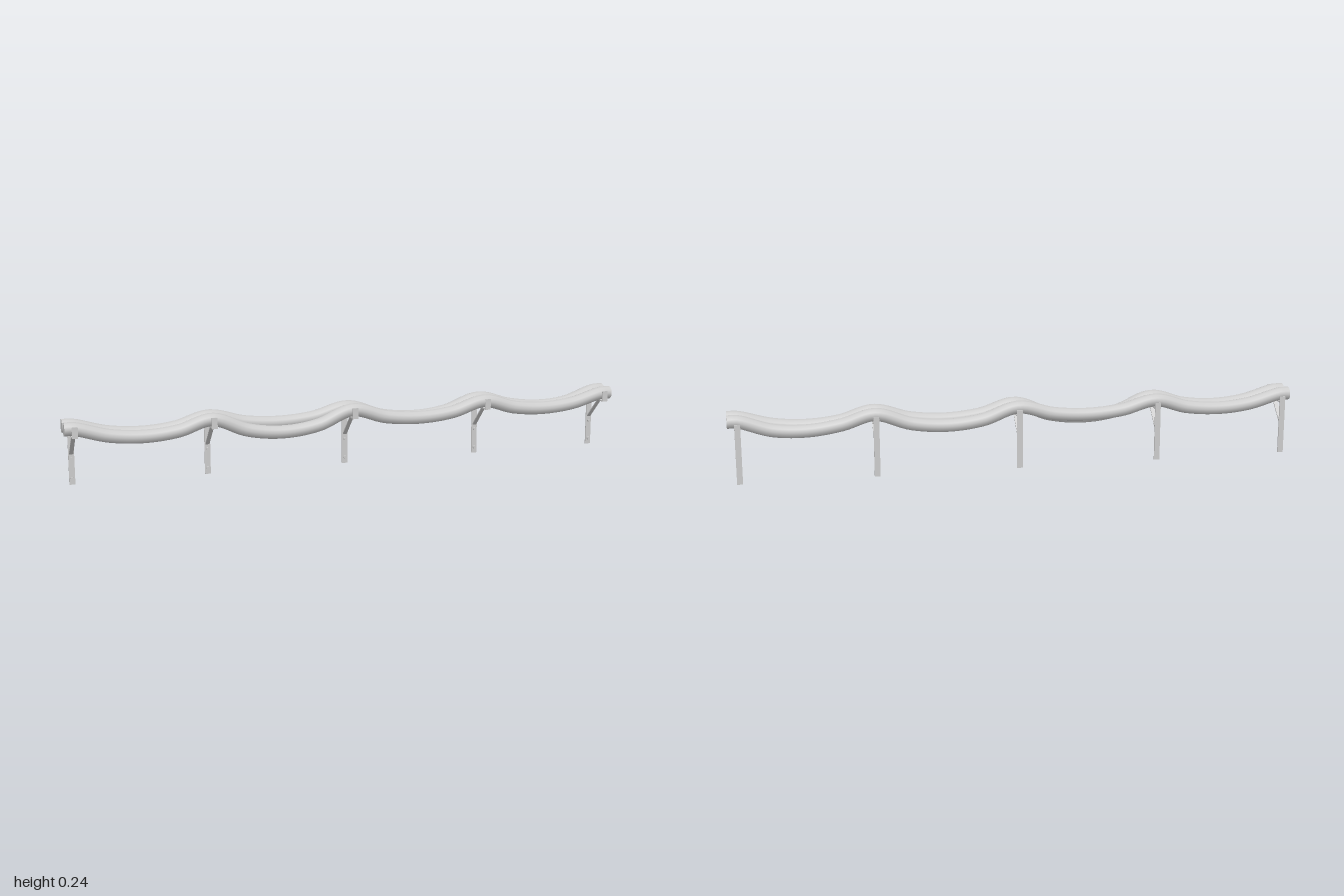
import * as THREE from 'three';

const R = 0.0235, TOP = 0.2118;
const SUPPORTS = [-0.968, -0.5, 0, 0.5, 0.966];

export function createModel() {
  const model = new THREE.Group();
  const mat = new THREE.MeshStandardMaterial({ color: 0xcccccc });

  const add = (parent, name, geo, x, y, z) => {
    const m = new THREE.Mesh(geo, mat);
    m.name = name;
    m.position.set(x, y, z);
    parent.add(m);
    return m;
  };

  // Pipe sagging between the supports, closed at both ends
  function pipe(name, z, sags, skews) {
    const g = new THREE.Group();
    g.name = name;
    const pts = [new THREE.Vector3(-1, TOP, z)];
    SUPPORTS.forEach((x, i) => {
      pts.push(new THREE.Vector3(x, TOP, z));
      if (i === SUPPORTS.length - 1) return;
      const span = SUPPORTS[i + 1] - x;
      for (const t of [0.25, 0.5, 0.75]) {
        const depth = sags[i] * (4 * t * (1 - t) + skews[i] * (t - 0.5));
        pts.push(new THREE.Vector3(x + t * span, TOP - depth, z));
      }
    });
    pts.push(new THREE.Vector3(1, TOP, z));
    const curve = new THREE.CatmullRomCurve3(pts);
    add(g, 'pipeWall', new THREE.TubeGeometry(curve, 120, R, 12), 0, 0, 0);
    for (const s of [-1, 1]) {
      add(g, 'pipeEnd', new THREE.CircleGeometry(R, 12), s, TOP, z).rotation.y = s * Math.PI / 2;
    }
    model.add(g);
  }
  pipe('frontPipe', 0.028, [0.042, 0.061, 0.044, 0.041], [0, 0, 0, 0]);
  pipe('rearPipe', -0.03, [0.041, 0.039, 0.052, 0.045], [0, 0, 0, 0.3]);

  // Wall bracket: post, arm, front lip, diagonal brace and two bolts
  function bracket(x) {
    const g = new THREE.Group();
    g.name = 'bracket';
    g.position.x = x;
    add(g, 'post', new THREE.BoxGeometry(0.02, 0.208, 0.0045), 0, 0.104, -0.0605);
    add(g, 'arm', new THREE.BoxGeometry(0.02, 0.0045, 0.122), 0, 0.188, 0.002);
    add(g, 'lip', new THREE.BoxGeometry(0.02, 0.038, 0.004), 0, 0.2055, 0.0625);
    const dy = 0.08, dz = 0.081;
    const brace = add(g, 'brace', new THREE.BoxGeometry(0.014, 0.004, Math.hypot(dy, dz)), 0, 0.147, -0.019);
    brace.rotation.x = -Math.atan2(dy, dz);
    for (const y of [0.022, 0.09]) {
      const bolt = add(g, 'bolt', new THREE.CylinderGeometry(0.0055, 0.0055, 0.009, 10), 0, y, -0.054);
      bolt.rotation.x = Math.PI / 2;
    }
    model.add(g);
  }
  SUPPORTS.forEach(bracket);

  return model;
}
